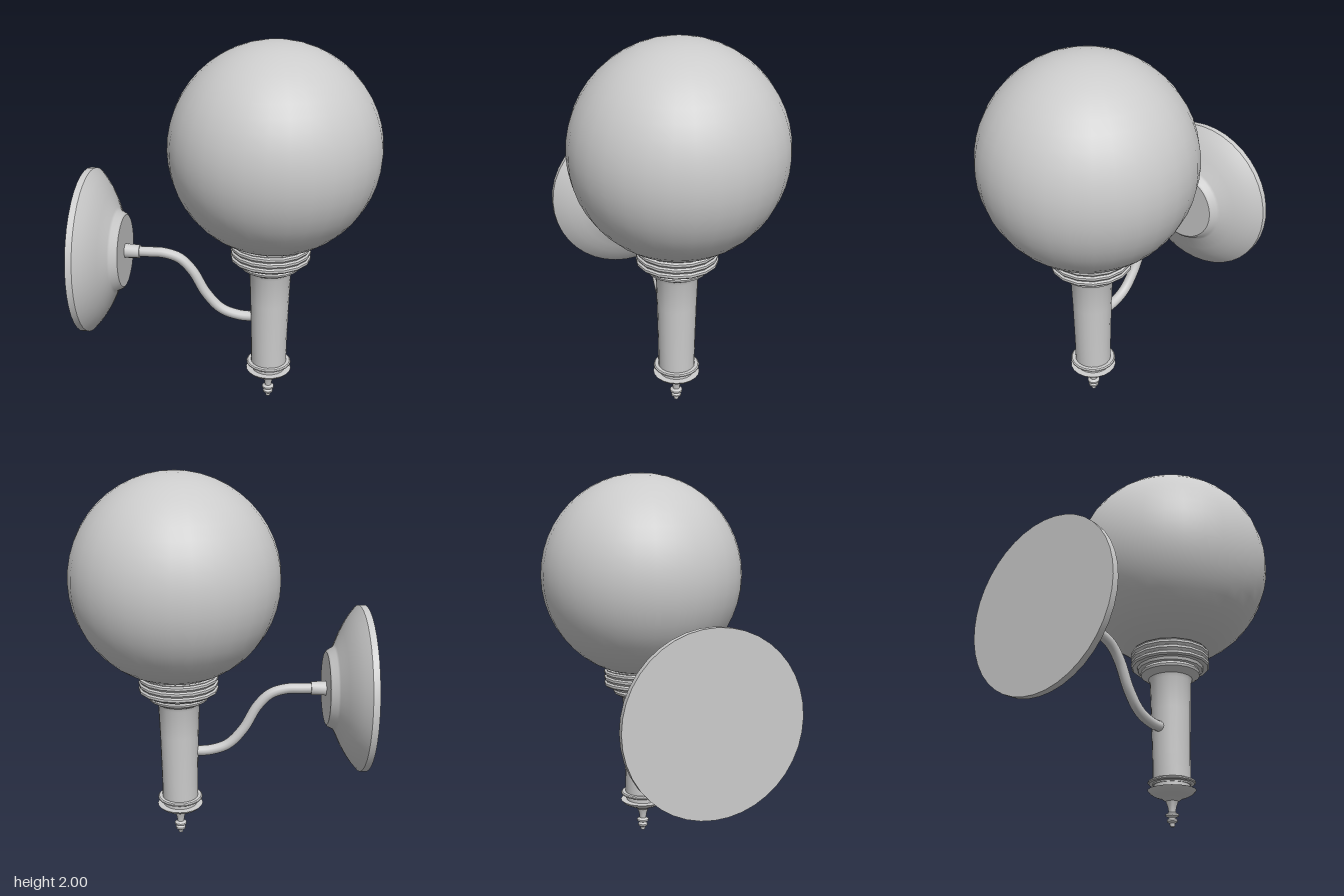
import * as THREE from 'three';
import { toCreasedNormals } from 'three/addons/utils/BufferGeometryUtils.js';

const material = new THREE.MeshStandardMaterial({ color: 0xcccccc, side: THREE.DoubleSide });
const STEM_X = 0.215, PLATE_Y = 0.857;

function part(name, geometry, x = 0, y = 0) {
  const mesh = new THREE.Mesh(geometry, material);
  mesh.name = name;
  mesh.position.set(x, y, 0);
  return mesh;
}

// Turned part from [radius, height] pairs listed from bottom to top
function turned(profile, segments) {
  const points = profile.map(([r, y]) => new THREE.Vector2(r, y));
  return toCreasedNormals(new THREE.LatheGeometry(points, segments), 0.6);
}

export function createModel() {
  const lamp = new THREE.Group();
  lamp.name = 'wallLamp';

  // Glass globe
  lamp.add(part('globe', new THREE.SphereGeometry(0.545, 32, 24), 0.225, 1.455));

  // Ribbed collar that carries the globe
  const collar = [[0, 0.835], [0.175, 0.835], [0.18, 0.85]];
  for (let i = 0; i < 3; i++) {
    const y = 0.85 + i * 0.031;
    collar.push([0.205, y], [0.213, y + 0.008], [0.213, y + 0.02], [0.203, y + 0.027]);
  }
  collar.push([0.205, 0.943], [0, 0.943]);
  lamp.add(part('collar', turned(collar, 16), STEM_X));

  // Tapered stem with a flared top
  lamp.add(part('stem', turned([
    [0, 0.21], [0.098, 0.21], [0.099, 0.35], [0.105, 0.6], [0.111, 0.765], [0.118, 0.785],
    [0.14, 0.797], [0.158, 0.808], [0.162, 0.82], [0.155, 0.832], [0.145, 0.84], [0, 0.84],
  ], 20), STEM_X));

  // Thin ring around the foot of the stem
  lamp.add(part('stemRing', turned([
    [0, 0.217], [0.117, 0.217], [0.123, 0.222], [0.123, 0.228], [0.117, 0.233], [0, 0.233],
  ], 20), STEM_X));

  // Cup and pointed finial
  lamp.add(part('finial', turned([
    [0, 0], [0.012, 0.002], [0.014, 0.018], [0.027, 0.027], [0.027, 0.036], [0.015, 0.046],
    [0.033, 0.055], [0.033, 0.064], [0.018, 0.073], [0.022, 0.1], [0.032, 0.128],
    [0.055, 0.144], [0.09, 0.157], [0.112, 0.17], [0.125, 0.185], [0.092, 0.187],
    [0.092, 0.22], [0, 0.22],
  ], 20), STEM_X));

  // Domed wall plate, turned so that its axis points along +x
  const plate = part('wallPlate', turned([
    [0, 0], [0.445, 0], [0.445, 0.034], [0.436, 0.042], [0.405, 0.068], [0.365, 0.095],
    [0.31, 0.125], [0.235, 0.158], [0.222, 0.166], [0.207, 0.195], [0.196, 0.203], [0, 0.203],
  ], 40), -0.775, PLATE_Y);
  plate.rotation.z = -Math.PI / 2;
  lamp.add(plate);

  // Socket where the arm leaves the plate
  const socket = part('armSocket',
    toCreasedNormals(new THREE.CylinderGeometry(0.036, 0.039, 0.085, 16), 0.6), -0.535, PLATE_Y);
  socket.rotation.z = -Math.PI / 2;
  lamp.add(socket);

  // S-shaped arm from socket to stem
  const path = new THREE.CatmullRomCurve3([
    [-0.52, 0.857], [-0.44, 0.857], [-0.36, 0.855], [-0.275, 0.827], [-0.205, 0.755],
    [-0.135, 0.63], [-0.05, 0.538], [0.05, 0.503], [0.16, 0.5],
  ].map(([x, y]) => new THREE.Vector3(x, y, 0)));
  lamp.add(part('arm', new THREE.TubeGeometry(path, 40, 0.028, 12)));

  return lamp;
}
